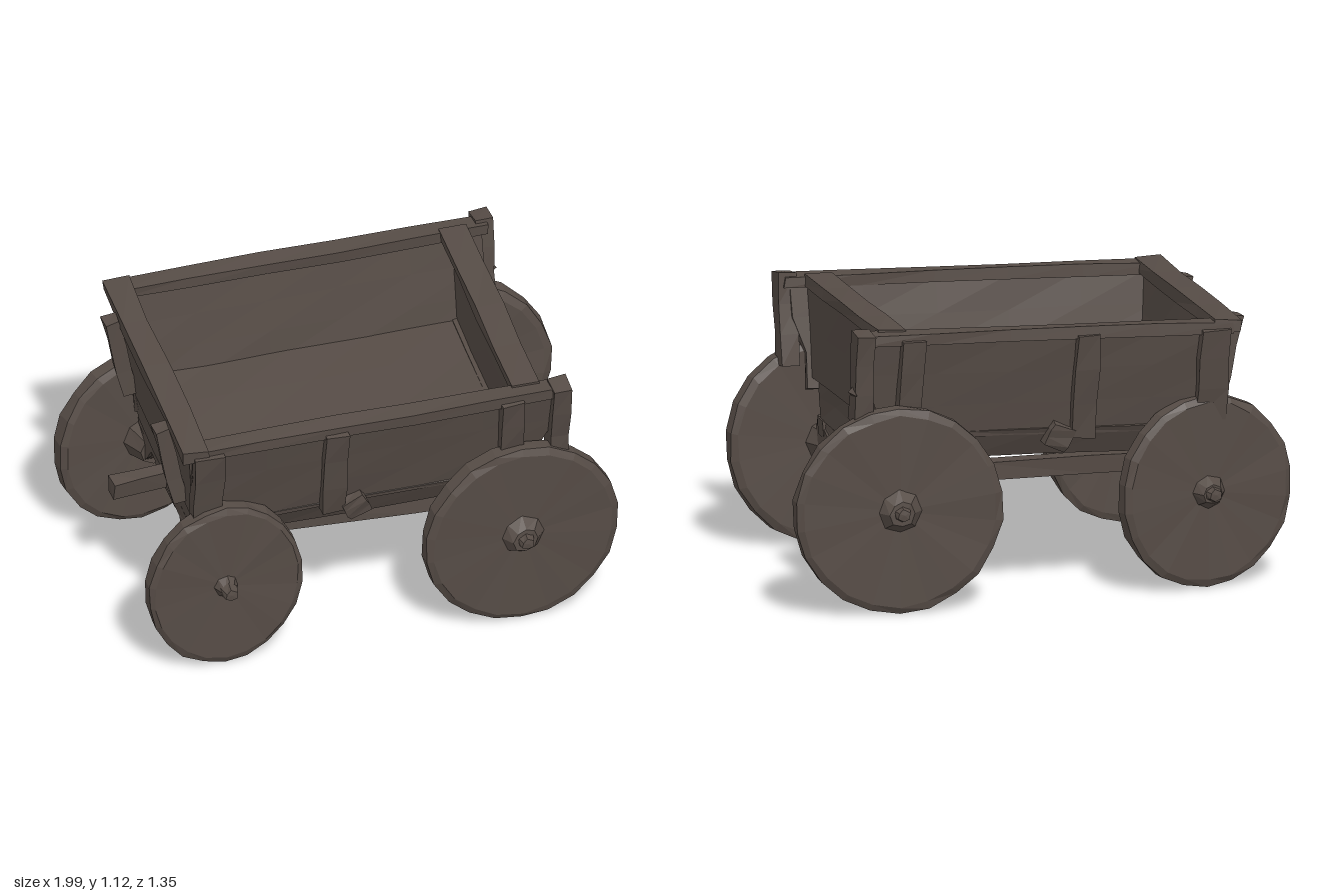
import * as THREE from 'three';

const wood = new THREE.MeshStandardMaterial({ color: 0x564c46, flatShading: true });
wood.name = 'dark weathered wood';

// Shift each vertex by a repeatable amount based on its position, for a hand-hewn look
function roughen(geo, amount) {
  const p = geo.attributes.position;
  const wobble = (a, b, c) => {
    const s = Math.sin(a * 127.1 + b * 311.7 + c * 74.7) * 43.758;
    return (s - Math.floor(s) - 0.5) * 2 * amount;
  };
  for (let i = 0; i < p.count; i++) {
    const [x, y, z] = [p.getX(i), p.getY(i), p.getZ(i)].map(v => Math.round(v * 1000) / 1000);
    p.setXYZ(i, x + wobble(x, y, z), y + wobble(y, z, x), z + wobble(z, x, y));
  }
  geo.computeVertexNormals();
  return geo;
}

function add(parent, name, geo, rough = 0.005) {
  const mesh = new THREE.Mesh(roughen(geo, rough), wood);
  mesh.name = name;
  parent.add(mesh);
  return mesh;
}

function box(parent, name, size, pos, segs = [1, 1, 1]) {
  const mesh = add(parent, name, new THREE.BoxGeometry(...size, ...segs));
  mesh.position.set(...pos);
  return mesh;
}

// Squared timber running from a to b
function beam(parent, name, a, b, w, d) {
  const from = new THREE.Vector3(...a), to = new THREE.Vector3(...b);
  const dir = to.clone().sub(from), len = dir.length();
  const mesh = add(parent, name, new THREE.BoxGeometry(w, len, d, 1, 3, 1), 0.006);
  mesh.position.copy(from).add(to).multiplyScalar(0.5);
  mesh.quaternion.setFromUnitVectors(new THREE.Vector3(0, 1, 0), dir.normalize());
  return mesh;
}

// Flared side wall whose ends draw in towards the bottom
function sideWall(parent, s) {
  const geo = new THREE.BoxGeometry(1.44, 0.41, 0.05, 5, 3, 1);
  const p = geo.attributes.position;
  for (let i = 0; i < p.count; i++) {
    const x = p.getX(i);
    if (p.getY(i) < 0 && Math.abs(x) > 0.7) p.setX(i, x * 0.92);
  }
  const mesh = add(parent, 'sideWall', geo);
  mesh.position.set(0.02, 0.235, s * 0.502);
  mesh.rotation.x = s * 0.2;
}

// Cross board at one end, with its own half width at bottom and top
function endBoard(parent, name, x, lean, y0, y1, half0, half1) {
  const h = y1 - y0;
  const geo = new THREE.BoxGeometry(0.045, h, 2, 1, 2, 4);
  const p = geo.attributes.position;
  for (let i = 0; i < p.count; i++) {
    const t = p.getY(i) / h + 0.5;
    p.setZ(i, p.getZ(i) * (half0 + (half1 - half0) * t));
    p.setX(i, p.getX(i) + lean * t);
  }
  add(parent, name, geo).position.set(x, (y0 + y1) / 2, 0);
}

function cylinder(parent, name, rOut, rIn, length, z, sides) {
  const geo = new THREE.CylinderGeometry(rOut, rIn, length, sides).rotateX(Math.PI / 2);
  const mesh = add(parent, name, geo, 0.004);
  mesh.position.z = z;
  return mesh;
}

// Solid disc wheel; its outer face looks along local +z
function wheel([x, y, z, rx, ry, yaw, tilt, hub]) {
  const g = new THREE.Group();
  g.name = 'wheel';
  const profile = [[0, -0.034], [0.93, -0.04], [1, -0.028], [1, 0.028], [0.93, 0.04], [0, 0.034]]
    .map(([r, h]) => new THREE.Vector2(r, h));
  const disc = new THREE.LatheGeometry(profile, 22).rotateX(Math.PI / 2);
  disc.scale(rx, ry, 1);
  add(g, 'wheelDisc', disc, 0.004);
  cylinder(g, 'hub', hub * 0.55, hub, 0.05, 0.053, 8);
  cylinder(g, 'hubPeg', 0.025, 0.035, 0.04, 0.085, 6);
  cylinder(g, 'innerHub', 0.09, 0.06, 0.1, -0.08, 8);
  g.position.set(x, y, z);
  g.rotation.set(tilt, yaw, 0);
  return g;
}

// Arched axle beam lying across the wagon
function axle(parent, x, y) {
  const half = [[0.5, 0.43], [0.49, 0.34], [0.38, 0.33], [0.31, 0.38], [0.25, 0.43], [0.22, 0.47], [0.15, 0.47], [0.13, 0.44]];
  const pts = [[-0.47, 0.53], [0.47, 0.53], ...half, ...half.map(([a, b]) => [-a, b]).reverse()];
  const shape = new THREE.Shape(pts.map(([a, b]) => new THREE.Vector2(a, b)));
  const geo = new THREE.ExtrudeGeometry(shape, { depth: 0.11, bevelEnabled: false });
  geo.translate(0, 0, -0.055).rotateY(-Math.PI / 2);
  add(parent, 'axle', geo, 0.008).position.set(x, y, 0);
}

export function createModel() {
  const model = new THREE.Group();
  model.name = 'woodenWagon';

  // Wagon bed, slightly crooked on its running gear
  const bed = new THREE.Group();
  bed.name = 'wagonBed';
  bed.position.set(0, 0.6, 0.012);
  bed.rotation.set(0.036, 0.03, 0.028);
  model.add(bed);

  box(bed, 'floor', [1.28, 0.05, 0.95], [-0.02, 0.06, 0], [4, 1, 4]);
  for (const s of [1, -1]) {
    // Side wall, inward-sloping lower board, rail and upright cleats
    sideWall(bed, s);
    const lower = box(bed, 'lowerSideBoard', [1.3, 0.13, 0.05], [-0.02, 0.008, s * 0.443], [4, 1, 1]);
    lower.rotation.x = s * 0.5;
    box(bed, 'sideRail', [1.48, 0.045, 0.08], [0.025, 0.443, s * 0.545], [5, 1, 1]);
    for (const [x, w, low] of [[-0.645, 0.12, 0.08], [-0.14, 0.09, 0.02], [0.56, 0.09, 0.08]]) {
      beam(bed, 'sidePost', [x, low, s * (0.49 + low * 0.2)], [x, 0.44, s * 0.578], w, 0.05);
    }
    // Peg block at the foot of the middle post
    beam(bed, 'postFoot', [-0.03, -0.02, s * 0.485], [-0.07, 0.07, s * 0.505], 0.09, 0.05);
    beam(bed, 'cornerPost', [0.75, 0.12, s * 0.518], [0.75, 0.47, s * 0.568], 0.07, 0.085);
  }
  for (const [x, lean] of [[0.64, 0.01], [-0.665, -0.025]]) {
    endBoard(bed, 'endWall', x, lean, 0.08, 0.45, 0.465, 0.53);
    endBoard(bed, 'lowerEndBoard', x * 0.97, 0, -0.075, 0.09, 0.4, 0.465);
  }
  box(bed, 'endRail', [0.11, 0.045, 1.05], [0.63, 0.449, 0], [1, 1, 4]);
  box(bed, 'endRail', [0.1, 0.05, 1.17], [-0.695, 0.447, 0], [1, 1, 4]);
  for (const z of [0.355, -0.365]) beam(bed, 'endPost', [-0.71, 0.1, z], [-0.775, 0.445, z], 0.06, 0.065);

  // Splinter on the rear corner post
  const splinter = add(model, 'splinter', new THREE.ConeGeometry(0.018, 0.07, 4), 0.002);
  splinter.position.set(0.76, 0.88, -0.565);
  splinter.rotation.x = -Math.PI / 2;

  // Running gear: axles, sills and tongue
  axle(model, 0.6, 0);
  axle(model, -0.6, -0.01);
  for (const s of [1, -1]) {
    beam(model, 'sill', [-0.66, 0.5, s * 0.38], [0.66, 0.5, s * 0.38], 0.075, 0.08);
    for (const x of [0.58, -0.58]) box(model, 'bedBlock', [0.12, 0.08, 0.08], [x, 0.545, s * 0.36]);
  }
  beam(model, 'tongue', [-0.55, 0.5, -0.02], [-0.88, 0.5, 0.035], 0.08, 0.06);

  // Wheels: x, y, z, half width, half height, yaw, tilt, hub radius
  for (const spec of [
    [0.605, 0.41, 0.55, 0.388, 0.4, 0.08, 0.04, 0.09],
    [-0.567, 0.37, 0.566, 0.31, 0.357, 0.07, 0.02, 0.05],
    [0.59, 0.413, -0.571, 0.41, 0.405, Math.PI, 0, 0.09],
    [-0.645, 0.388, -0.468, 0.355, 0.378, Math.PI + 0.2, 0, 0.07],
  ]) model.add(wheel(spec));

  return model;
}
